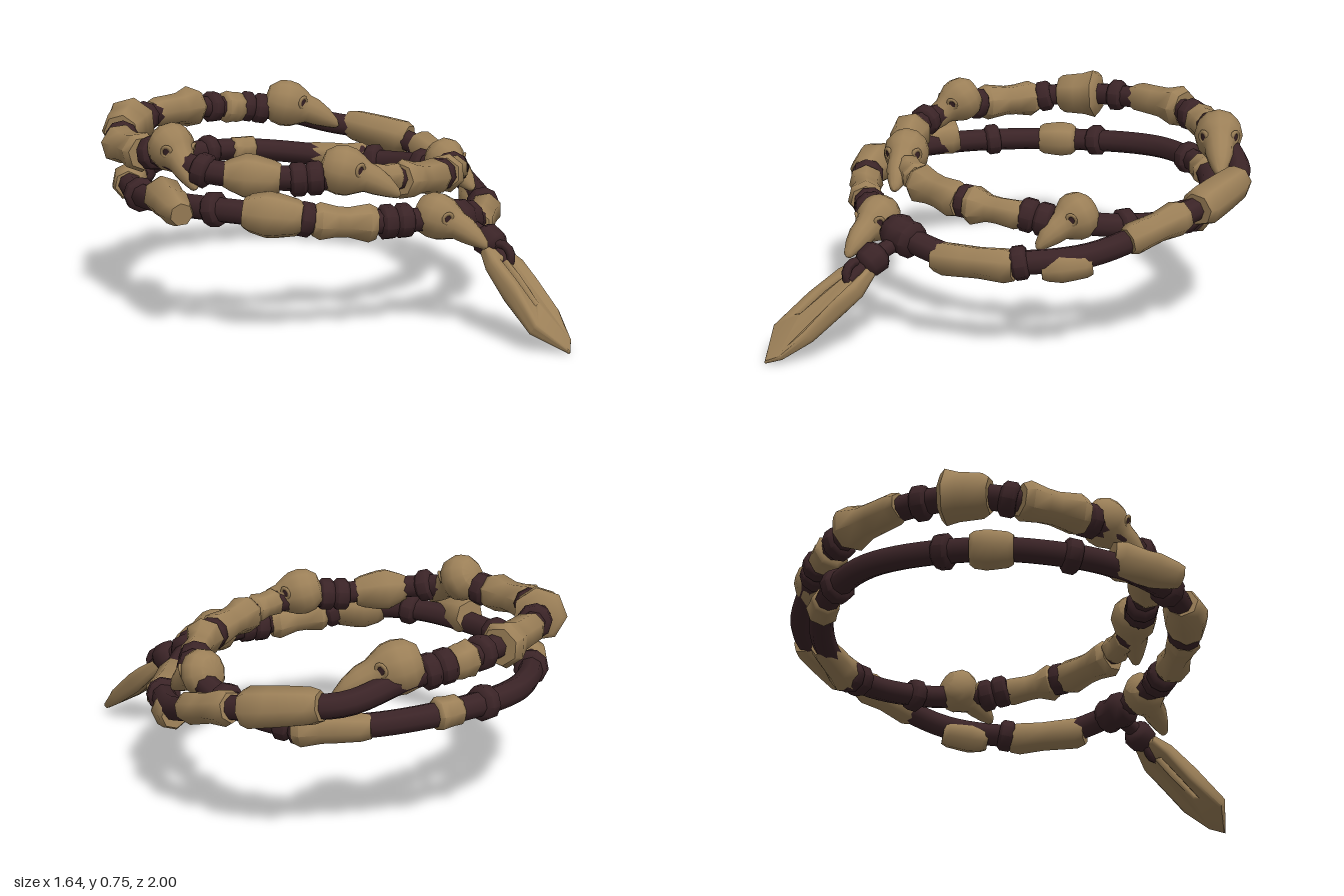
import * as THREE from 'three';
import { toCreasedNormals } from 'three/addons/utils/BufferGeometryUtils.js';

const V = (p) => new THREE.Vector3(...p);
const UP = new THREE.Vector3(0, 1, 0);

export function createModel() {
  const bone = new THREE.MeshStandardMaterial({ color: 0x9c8058 });
  bone.name = 'bone';
  const leather = new THREE.MeshStandardMaterial({ color: 0x3b2427 });
  leather.name = 'dark leather';

  const model = new THREE.Group();
  model.name = 'boneBeadNecklace';
  const add = (geometry, material, name, parent = model) => {
    const mesh = new THREE.Mesh(geometry, material);
    mesh.name = name;
    parent.add(mesh);
    return mesh;
  };

  // Cord: one closed line that winds round twice
  const cord = new THREE.CatmullRomCurve3([
    // upper turn: front, left, back, right
    [0, .52, .28], [-.2, .55, .24], [-.38, .56, .11], [-.53, .57, -.03], [-.63, .59, -.2],
    [-.62, .62, -.42], [-.56, .62, -.65], [-.37, .65, -.83], [0, .66, -.92], [.28, .64, -.86],
    [.48, .61, -.76], [.65, .55, -.64], [.73, .52, -.43], [.71, .45, -.1], [.61, .38, .1],
    // lower turn: front, left, back, right
    [.44, .35, .28], [.25, .34, .39], [.02, .39, .46], [-.13, .41, .43], [-.28, .42, .37],
    [-.43, .43, .27], [-.6, .46, .1], [-.68, .47, -.12], [-.66, .46, -.4], [-.56, .455, -.61],
    [-.39, .455, -.79], [0, .47, -.93], [.32, .46, -.83], [.54, .43, -.6], [.62, .42, -.35],
    [.58, .44, -.1], [.49, .47, .08], [.27, .5, .24],
  ].map(V), true);
  add(new THREE.TubeGeometry(cord, 200, .045, 8, true), leather, 'cord');

  // Find the direction of the cord at the place nearest to a point
  const samples = cord.getSpacedPoints(600);
  const nearest = (p) => {
    let best = 0;
    samples.forEach((s, i) => {
      if (s.distanceToSquared(p) < samples[best].distanceToSquared(p)) best = i;
    });
    return { point: samples[best], tangent: cord.getTangentAt(best / 600) };
  };

  const turned = (profile, sides, crease = 1) =>
    toCreasedNormals(new THREE.LatheGeometry(profile.map(([r, y]) => new THREE.Vector2(r, y)), sides), crease);

  const thread = (geometry, material, name, at) => {
    const { point, tangent } = nearest(V(at));
    const mesh = add(geometry, material, name);
    mesh.position.copy(point);
    mesh.quaternion.setFromUnitVectors(UP, tangent);
    return mesh;
  };

  // Bone beads: [centre, length, radius at start, waist, radius at end, sideways drop]
  const beadShape = (len, r0, waist, r1) => {
    const h = len / 2;
    return turned([[0, -h], [r0 * .82, -h], [r0, -h * .75], [waist, -h * .1], [waist * 1.03, h * .25],
      [r1, h * .78], [r1 * .8, h], [0, h]], 7);
  };
  const beads = [
    [[-.01, .66, -.92], .27, .06, .062, .085], [[-.37, .65, -.83], .17, .08, .085, .1],
    [[-.59, .62, -.62], .25, .075, .062, .075], [[-.55, .57, -.05], .2, .065, .08, .06],
    [[.02, .52, .28], .25, .07, .06, .075], [[.27, .5, .24], .22, .055, .05, .075],
    [[.73, .52, -.43], .29, .066, .072, .076], [[.72, .45, -.13], .25, .066, .055, .06],
    [[.3, .34, .37], .31, .064, .058, .062], [[.56, .36, .16], .18, .055, .06, .05, .025],
    [[-.43, .43, .27], .23, .07, .054, .068], [[-.61, .46, .09], .21, .068, .082, .07],
    [[-.43, .455, -.76], .15, .064, .07, .066],
    [[.31, .46, -.83], .1, .055, .055, .06], [[.57, .43, -.54], .27, .05, .056, .07],
    [[-.17, .55, .25], .12, .058, .05, .055], [[.29, .64, -.86], .1, .068, .062, .058],
  ];
  for (const [at, len, r0, waist, r1, drop = 0] of beads) {
    const bead = thread(beadShape(len, r0, waist, r1), bone, 'boneBead', at);
    bead.position.y -= drop;
  }
  // One flared bead swings outwards on the left
  const swung = add(beadShape(.26, .074, .064, .052), bone, 'swungBead');
  swung.position.set(-.72, .475, -.285);
  swung.quaternion.setFromUnitVectors(UP, V([-.13, -.03, .22]).normalize());

  // Leather wraps: short chunky bands round the cord
  const wraps = [
    [[.19, .65, -.89], 1], [[.37, .62, -.83], 2], [[-.22, .66, -.88], 1], [[-.49, .64, -.74], 1],
    [[-.62, .62, -.47], 1], [[-.64, .59, -.2], 1], [[-.41, .56, .08], 2], [[.15, .51, .27], 1],
    [[.4, .49, .16], 2], [[.57, .44, -.11], 1], [[.62, .42, -.4], 2], [[.44, .35, .27], 1],
    [[-.27, .42, .37], 2], [[-.53, .45, .18], 1], [[-.68, .46, -.12], 1], [[-.6, .45, -.54], 1],
    [[.17, .46, -.89], 1], [[-.28, .45, -.84], 1],
  ];
  wraps.forEach(([at, n], k) => {
    const profile = [[0, -n * .03]];
    for (let i = 0; i < n; i++) {
      const y = (i - n / 2) * .06;
      profile.push([.05, y], [.063, y + .012], [.063, y + .048], [.05, y + .06]);
    }
    profile.push([0, n * .03]);
    const wrap = thread(turned(profile, 9), leather, 'leatherWrap', at);
    wrap.rotateX(k % 2 ? .15 : -.15);
  });

  // Bird skulls: round brain case that narrows into a drooping beak, facing +z
  const skullShape = new THREE.LatheGeometry([[0, -.1], [.055, -.088], [.083, -.045], [.09, 0], [.086, .045],
    [.07, .085], [.054, .12], [.05, .165], [.036, .225], [.018, .275], [0, .29]].map((p) => new THREE.Vector2(...p)), 12);
  skullShape.rotateX(Math.PI / 2);
  const pos = skullShape.attributes.position;
  for (let i = 0; i < pos.count; i++) {
    const z = pos.getZ(i);
    const droop = z > .06 ? .7 * (z - .06) ** 2 : 0;
    // pinch the cheeks in behind the beak
    const pinch = 1 - .14 * Math.exp(-(((z - .08) / .03) ** 2));
    pos.setXYZ(i, pos.getX(i) * .95 * pinch, pos.getY(i) - droop, z);
  }
  const skullGeometry = toCreasedNormals(skullShape, .8);
  const rim = new THREE.TorusGeometry(.02, .008, 6, 12);
  const socket = new THREE.CylinderGeometry(.014, .014, .008, 10).rotateX(Math.PI / 2);

  const skulls = [ // [brain case centre, beak tip, size]
    [[-.61, .655, -.38], [-.67, .56, -.2], 1],
    [[.47, .645, -.73], [.63, .585, -.56], 1.08],
    [[-.31, .585, .165], [-.18, .53, .34], 1.02],
    [[.5, .49, .055], [.46, .43, .23], .98],
    [[-.13, .425, .45], [-.08, .36, .65], .95],
  ];
  for (const [from, to, size] of skulls) {
    const skull = new THREE.Group();
    skull.name = 'birdSkull';
    skull.position.copy(V(from));
    skull.lookAt(V(to));
    skull.scale.set(size, size, V(from).distanceTo(V(to)) / .285);
    add(skullGeometry, bone, 'skullBone', skull);
    for (const s of [-1, 1]) {
      const eye = new THREE.Group();
      eye.name = 'eyeSocket';
      eye.position.set(s * .053, .024, .08);
      eye.rotation.y = s * .95;
      add(rim, bone, 'eyeRim', eye);
      add(socket, leather, 'eyeHollow', eye);
      skull.add(eye);
    }
    model.add(skull);
  }

  // Knot at the front that carries the pendant
  thread(turned([[0, -.07], [.055, -.07], [.07, -.05], [.064, -.015], [.074, .01], [.066, .05],
    [.05, .07], [0, .07]], 9), leather, 'pendantKnot', [.02, .385, .46]);
  const hanger = new THREE.CatmullRomCurve3([[.02, .38, .46], [.01, .35, .55], [0, .31, .62], [-.015, .26, .68]].map(V));
  add(new THREE.TubeGeometry(hanger, 12, .03, 8), leather, 'hangerCord');
  const collar = add(turned([[0, -.045], [.045, -.045], [.06, -.025], [.056, .025], [.04, .045], [0, .045]], 9),
    leather, 'hangerWrap');
  collar.position.set(.005, .325, .595);
  collar.quaternion.setFromUnitVectors(UP, V([-.05, -.4, .8]).normalize());
  const loop = add(new THREE.TorusGeometry(.042, .018, 6, 12), leather, 'hangerLoop');
  loop.position.set(-.015, .285, .655);
  loop.rotation.set(.3, Math.PI / 2, 0);

  // Pendant: pointed bone plate with a slit, thickest in the middle and thin at the tip
  const path = (pts) => pts.map((p) => new THREE.Vector2(...p));
  const plate = new THREE.Shape(path([[-.1, 0], [-.06, .03], [-.01, .14], [.015, .28], [.04, .37], [.03, .47],
    [-.05, .47], [-.085, .41], [-.12, .28], [-.165, .12]]));
  plate.holes.push(new THREE.Path(path([[-.112, .18], [-.084, .19], [-.052, .31], [-.025, .41], [-.06, .41], [-.088, .31]])));
  const plateGeometry = new THREE.ExtrudeGeometry(plate, {
    depth: .02, bevelEnabled: true, bevelThickness: .018, bevelSize: .012, bevelSegments: 2,
  }).translate(0, 0, -.01);
  const corner = plateGeometry.attributes.position;
  for (let i = 0; i < corner.count; i++) {
    const y = corner.getY(i);
    corner.setZ(i, corner.getZ(i) * (.3 + 1.1 * Math.sin(Math.PI * THREE.MathUtils.clamp(y / .55, 0, 1))));
  }
  const pendant = add(toCreasedNormals(plateGeometry, .9), bone, 'pendantPlate');
  pendant.position.set(0, .015, .985);
  pendant.rotation.x = -.92;

  return model;
}
